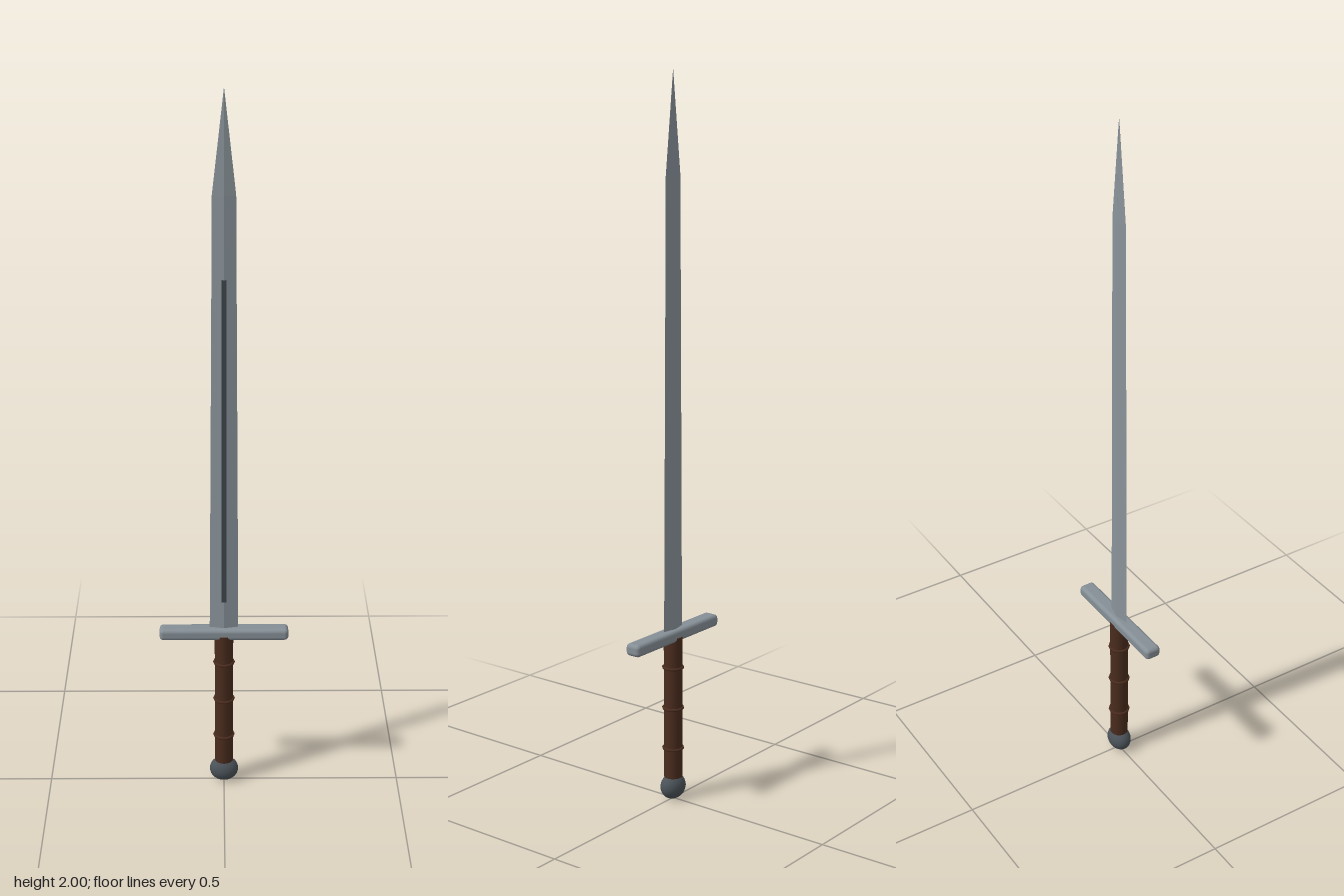
import * as THREE from 'three';
import { RoundedBoxGeometry } from 'three/addons/geometries/RoundedBoxGeometry.js';

function addPart(parent, name, geometry, color, y, z = 0, flatShading = false) {
  const mesh = new THREE.Mesh(geometry, new THREE.MeshStandardMaterial({ color, flatShading }));
  mesh.name = name;
  mesh.position.set(0, y, z);
  parent.add(mesh);
}

// Diamond cross-sections [y, half width, half thickness] joined up to a point
function bladeGeometry(sections) {
  const positions = [];
  const index = [];
  for (const [y, w, t] of sections) positions.push(w, y, 0, 0, y, t, -w, y, 0, 0, y, -t);
  for (let s = 0; s < sections.length - 1; s++) {
    for (let i = 0; i < 4; i++) {
      const a = s * 4 + i;
      const b = s * 4 + ((i + 1) % 4);
      index.push(a, a + 4, b, b, a + 4, b + 4);
    }
  }
  index.push(0, 1, 2, 0, 2, 3);
  const geometry = new THREE.BufferGeometry();
  geometry.setAttribute('position', new THREE.Float32BufferAttribute(positions, 3));
  geometry.setIndex(index);
  const flat = geometry.toNonIndexed();
  flat.computeVertexNormals();
  return flat;
}

export function createModel() {
  const sword = new THREE.Group();
  sword.name = 'sword';

  // Tapering blade with a dark strip on its front face
  const sections = [[0.48, 0.04, 0.009], [1.73, 0.031, 0.007], [2, 0.0005, 0.0005]];
  addPart(sword, 'blade', bladeGeometry(sections), 0x8a949b, 0, 0, true);
  addPart(sword, 'fuller', new THREE.BoxGeometry(0.014, 0.93, 0.005), 0x3f464c, 1.043, 0.0075);

  // Crossguard
  addPart(sword, 'crossguard', new RoundedBoxGeometry(0.36, 0.034, 0.046, 4, 0.011), 0x858f96, 0.48);

  // Grip with three raised bands
  addPart(sword, 'grip', new THREE.CylinderGeometry(0.026, 0.026, 0.41, 16), 0x4a2c1e, 0.27);
  for (const y of [0.15, 0.268, 0.386]) {
    const band = new THREE.TorusGeometry(0.027, 0.004, 8, 12).rotateX(Math.PI / 2);
    addPart(sword, 'gripBand', band, 0x4a2c1e, y);
  }

  // Pommel, slightly flattened front to back
  const pommel = new THREE.SphereGeometry(1, 24, 16).scale(0.041, 0.036, 0.032);
  addPart(sword, 'pommel', pommel, 0x4a5258, 0.036);

  return sword;
}
